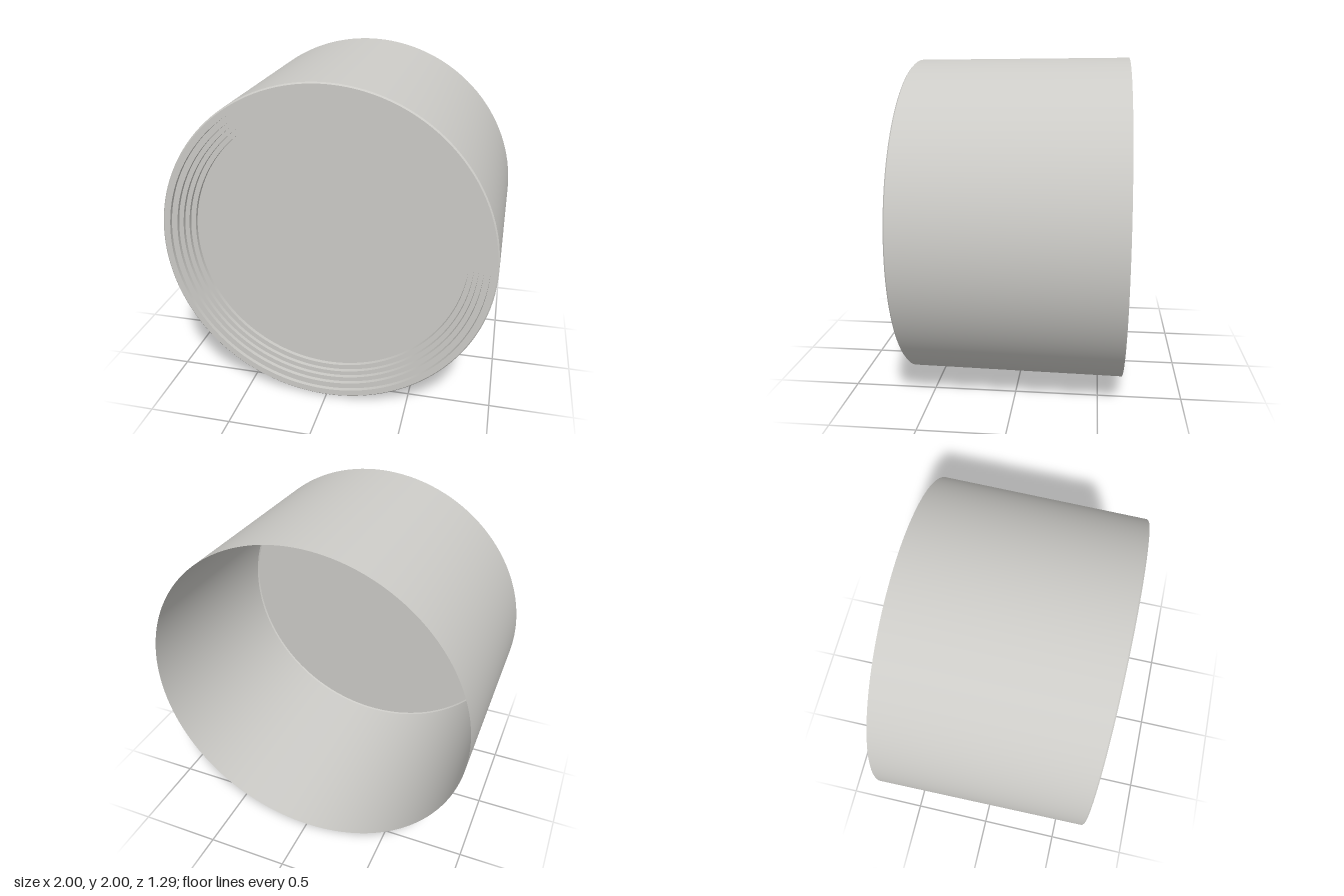
import * as THREE from 'three';

const SEGMENTS = 128;

export function createModel() {
  const group = new THREE.Group();
  const grey = new THREE.MeshStandardMaterial({ color: 0xcccbc7, side: THREE.DoubleSide });
  grey.name = 'warm light grey';

  const body = new THREE.Group();
  body.name = 'hollowBarrel';
  body.position.y = 1;
  group.add(body);

  // Each profile is a list of [radius, z], swept round the z axis; separate bands keep edges crisp
  const addBand = (name, profile) => {
    const points = profile.map(([r, z]) => new THREE.Vector2(r, z));
    const geometry = new THREE.LatheGeometry(points, SEGMENTS).rotateX(Math.PI / 2);
    const mesh = new THREE.Mesh(geometry, grey);
    mesh.name = name;
    body.add(mesh);
  };

  // Slightly tapered outer wall, open at the back
  const front = 0.645;
  addBand('outerWall', [[1, -front], [0.985, front - 0.008]]);
  addBand('rimBevel', [[0.985, front - 0.008], [0.977, front]]);
  addBand('rimFace', [[0.977, front], [0.94, front]]);

  // Concentric steps going down to the recessed plate
  const radii = [0.94, 0.905, 0.877, 0.85, 0.82];
  const drop = 0.024;
  let z = front;
  radii.forEach((r, i) => {
    addBand('stepWall', [[r, z], [r, z - drop]]);
    z -= drop;
    if (i < radii.length - 1) addBand('stepFace', [[r, z], [radii[i + 1], z]]);
  });

  // Recessed front plate
  const plate = new THREE.Mesh(new THREE.CircleGeometry(radii.at(-1), SEGMENTS), grey);
  plate.name = 'frontPlate';
  plate.position.z = z;
  body.add(plate);

  return group;
}
